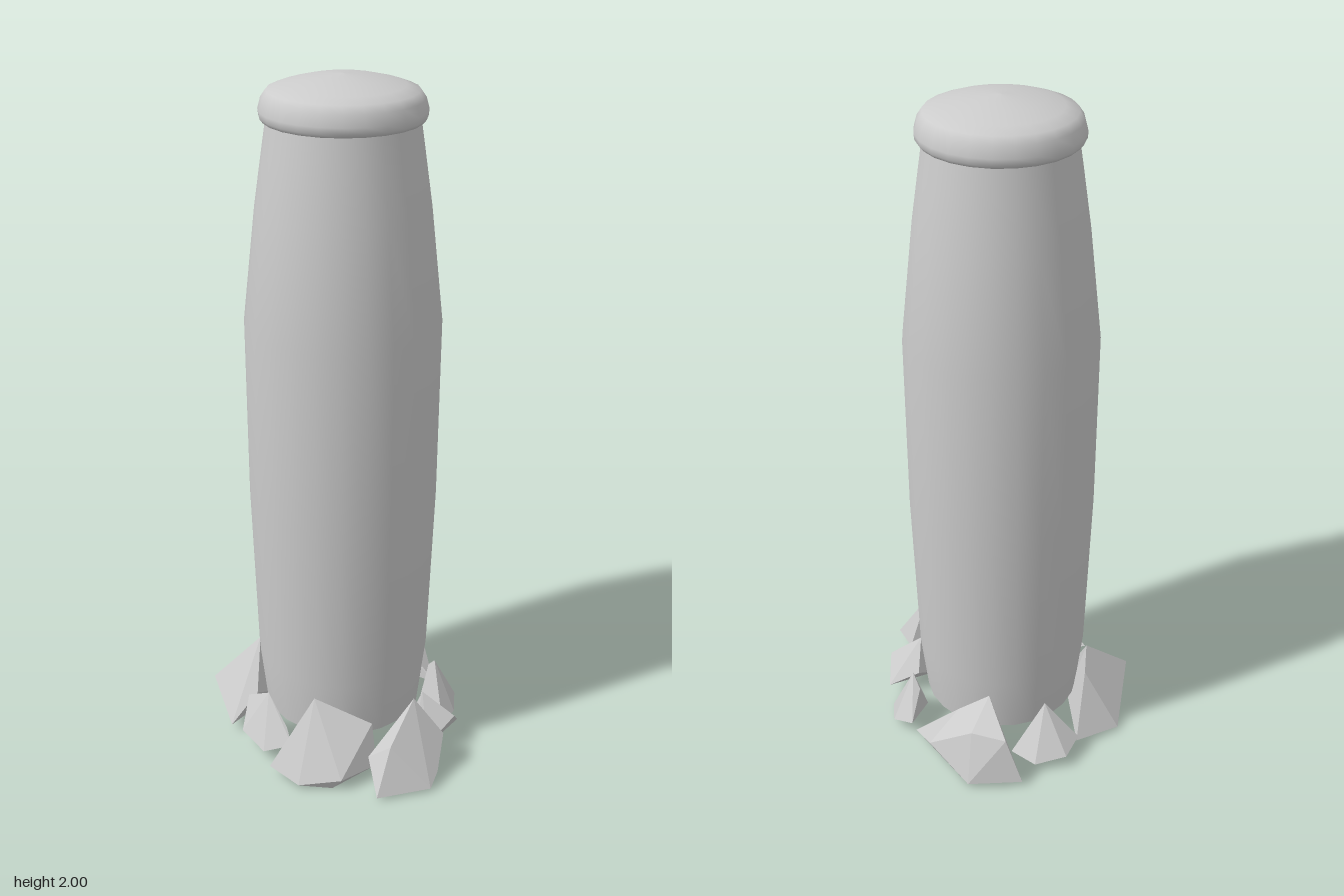
import * as THREE from 'three';
import { ConvexGeometry } from 'three/addons/geometries/ConvexGeometry.js';

const SIDES = 24;
const CX = 0.012, CZ = 0.008; // post axis

export function createModel() {
  const group = new THREE.Group();
  const smooth = new THREE.MeshStandardMaterial({ color: 0xcccccc });
  const faceted = new THREE.MeshStandardMaterial({ color: 0xcccccc, flatShading: true });

  const add = (name, geometry, material, parent = group) => {
    const mesh = new THREE.Mesh(geometry, material);
    mesh.name = name;
    parent.add(mesh);
    return mesh;
  };
  const lathe = (points) =>
    new THREE.LatheGeometry(points.map(([r, y]) => new THREE.Vector2(r, y)), SIDES);

  // Post: swelling shaft, flat underside, domed cap with a rolled rim
  const post = new THREE.Group();
  post.name = 'post';
  post.position.set(CX, 0, CZ);
  group.add(post);
  add('shaft', lathe([[0.235, 0.1], [0.255, 0.28], [0.271, 0.8], [0.273, 1.33], [0.237, 1.65], [0.215, 1.8], [0.2, 1.9]]), smooth, post);
  const base = add('underside', new THREE.CircleGeometry(0.235, SIDES), smooth, post);
  base.rotation.x = Math.PI / 2;
  base.position.y = 0.1;
  add('cap', lathe([[0.195, 1.883], [0.212, 1.883], [0.22, 1.893], [0.222, 1.91], [0.214, 1.94], [0.2, 1.96], [0.165, 1.973], [0.11, 1.987], [0.05, 1.996], [0, 2]]), smooth, post);
  const capBase = add('capUnderside', new THREE.RingGeometry(0.17, 0.212, SIDES), smooth, post);
  capBase.rotation.x = Math.PI / 2;
  capBase.position.y = 1.883;

  // Ring of broken stones around the foot, each a hull of a few corners
  const stones = {
    backStone: [
      [-0.087, 0.03, -0.375], [0.075, 0.02, -0.39], [-0.035, 0.17, -0.355], [0.07, 0.17, -0.33],
      [0.2, 0.1, -0.31], [0.26, 0.04, -0.195], [0.025, 0.25, -0.25], [0.12, 0.18, -0.24], [0.03, 0.06, -0.22]],
    backRightSmallStone: [
      [-0.213, 0.05, -0.278], [-0.12, 0.04, -0.31], [-0.045, 0.05, -0.27], [-0.245, 0.07, -0.207],
      [-0.14, 0.14, -0.235], [-0.14, 0.19, -0.2], [-0.14, 0.06, -0.18]],
    rightStone: [
      [-0.365, 0.02, -0.1], [-0.383, 0.13, 0.087], [-0.29, 0.04, 0.195], [-0.24, 0.04, -0.195],
      [-0.255, 0.2, -0.06], [-0.255, 0.25, 0.01], [-0.23, 0.12, 0.12], [-0.2, 0.05, 0]],
    frontRightSmallStone: [
      [-0.24, 0.06, 0.235], [-0.15, 0.05, 0.303], [-0.065, 0.08, 0.29], [-0.247, 0.13, 0.15],
      [-0.16, 0.2, 0.215], [-0.09, 0.12, 0.26], [-0.14, 0.07, 0.18]],
    frontStone: [
      [-0.115, 0.04, 0.35], [-0.015, 0.02, 0.387], [0.08, 0.01, 0.36], [0.11, 0.05, 0.37],
      [0, 0.25, 0.27], [0.17, 0.18, 0.25], [0.19, 0.05, 0.27], [0.03, 0.06, 0.22]],
    frontLeftStone: [
      [0.22, 0.02, 0.38], [0.36, 0.02, 0.295], [0.37, 0.05, 0.25], [0.368, 0.13, 0.172],
      [0.17, 0.09, 0.29], [0.24, 0.15, 0.305], [0.28, 0.25, 0.19], [0.325, 0.1, 0.13], [0.2, 0.06, 0.19]],
    leftSmallStone: [
      [0.375, 0.05, -0.01], [0.38, 0.12, 0.068], [0.315, 0.05, 0.143], [0.27, 0.08, 0.135],
      [0.28, 0.19, 0.07], [0.28, 0.1, 0], [0.23, 0.06, 0.06]],
    backLeftStone: [
      [0.27, 0.08, -0.21], [0.337, 0.04, -0.155], [0.352, 0.03, -0.075], [0.33, 0.02, -0.01],
      [0.28, 0.19, -0.1], [0.255, 0.15, -0.13], [0.24, 0.05, -0.08]],
  };
  const ring = new THREE.Group();
  ring.name = 'stoneRing';
  group.add(ring);
  for (const [name, corners] of Object.entries(stones)) {
    add(name, new ConvexGeometry(corners.map((c) => new THREE.Vector3(...c))), faceted, ring);
  }
  // Settle the lowest stone corner on the ground
  ring.position.y = -0.01;
  return group;
}
